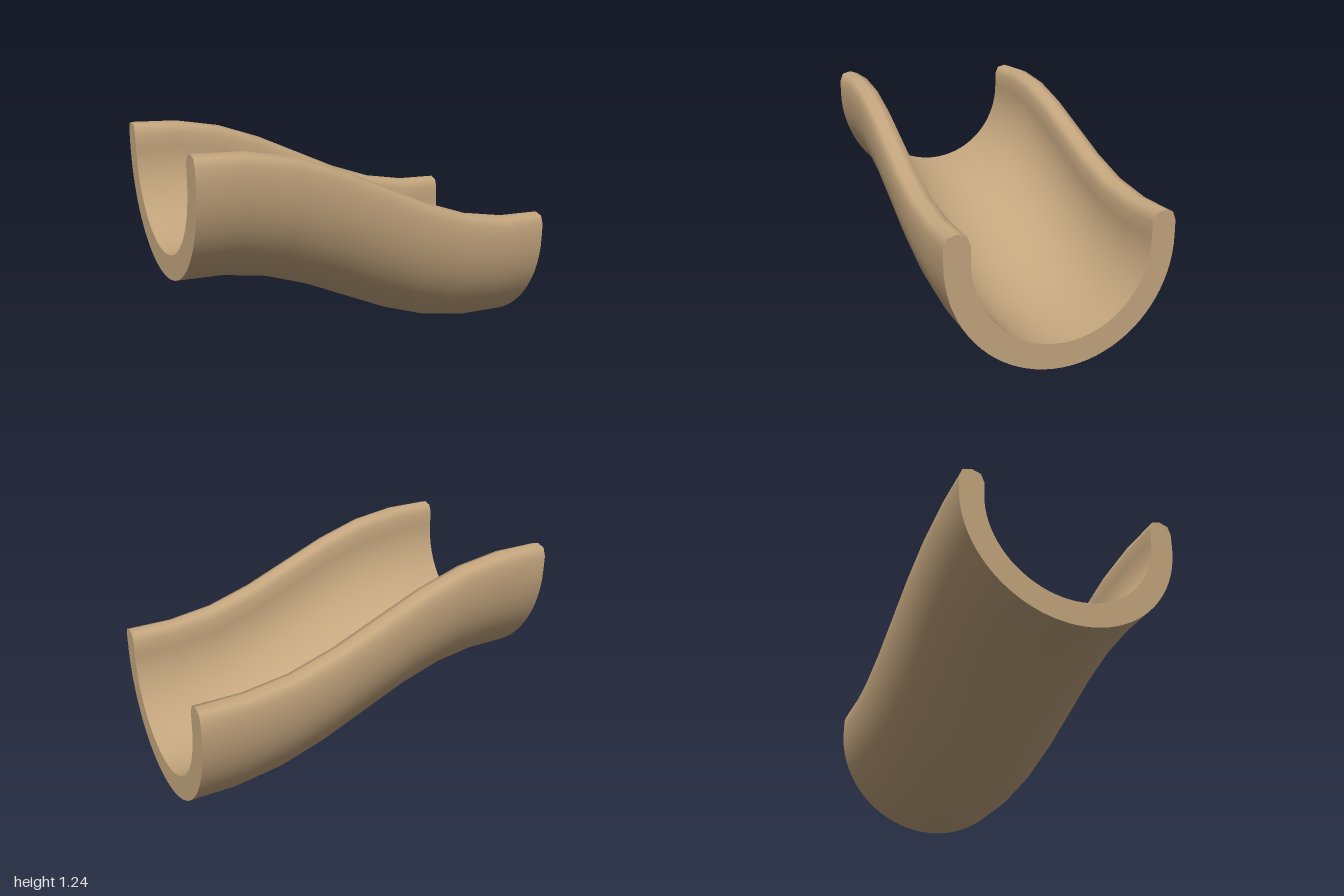
import * as THREE from 'three';
import { toCreasedNormals } from 'three/addons/utils/BufferGeometryUtils.js';

const OUTER = 0.6, INNER = 0.47, CENTRE_Y = 0.603, DROP = 0.502;

// U-shaped section with rounded rims
function channelShape() {
  const pts = [];
  const arc = (radius, from, to, segments) => {
    for (let i = 0; i <= segments; i++) {
      const a = from + (to - from) * i / segments;
      pts.push(new THREE.Vector2(radius * Math.cos(a), CENTRE_Y + radius * Math.sin(a)));
    }
  };
  // Rim points from the outer wall to the inner wall
  const rim = [[0.6, 0.682], [0.583, 0.726], [0.535, 0.74], [0.488, 0.726], [0.47, 0.682]];

  arc(OUTER, Math.PI, Math.PI * 2, 40);
  rim.forEach(([x, y]) => pts.push(new THREE.Vector2(x, y)));
  arc(INNER, Math.PI * 2, Math.PI, 40);
  [...rim].reverse().forEach(([x, y]) => pts.push(new THREE.Vector2(-x, y)));
  return new THREE.Shape(pts);
}

export function createModel() {
  const wood = new THREE.MeshStandardMaterial({ color: 0xc4a67e });
  wood.name = 'tan wood';

  // Straight channel along x, in eight lengths
  let geometry = new THREE.ExtrudeGeometry(channelShape(), { depth: 2, steps: 8, bevelEnabled: false });
  geometry.translate(0, 0, -1);
  geometry.rotateY(Math.PI / 2);

  // Slide each section down along a smooth S curve
  const pos = geometry.attributes.position;
  for (let i = 0; i < pos.count; i++) {
    const lift = THREE.MathUtils.smootherstep(-pos.getX(i), -1, 1) * DROP;
    pos.setY(i, pos.getY(i) + lift - 0.003);
  }
  geometry = toCreasedNormals(geometry, 1.15);

  const channel = new THREE.Mesh(geometry, wood);
  channel.name = 'slopingChannel';

  const group = new THREE.Group();
  group.name = 'slideTrack';
  group.add(channel);
  return group;
}
